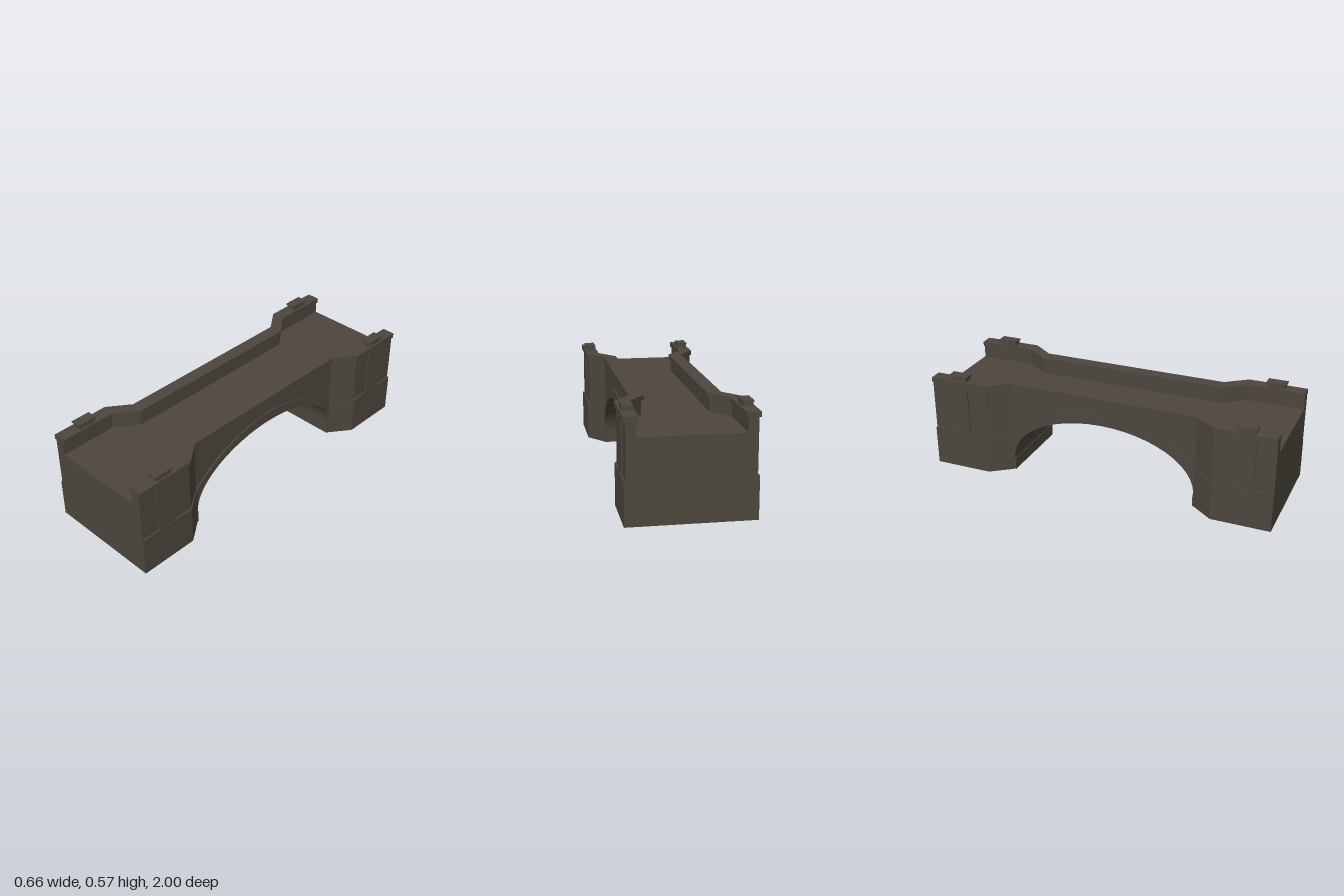
import * as THREE from 'three';
import { toCreasedNormals } from 'three/addons/utils/BufferGeometryUtils.js';

export function createModel() {
  const bridge = new THREE.Group();
  bridge.name = 'stoneBridge';
  const stone = new THREE.MeshStandardMaterial({ color: 0x4c463d });
  stone.name = 'dark stone';

  const add = (name, geometry) => {
    const mesh = new THREE.Mesh(geometry, stone);
    mesh.name = name;
    bridge.add(mesh);
    return mesh;
  };
  const shapeOf = pts => new THREE.Shape(pts.map(p => new THREE.Vector2(p[0], p[1])));

  // Plan outline in (x, z), raised from y0 to y1
  const slab = (name, pts, y0, y1) => {
    const g = new THREE.ExtrudeGeometry(shapeOf(pts.map(([x, z]) => [x, -z])), { depth: y1 - y0, bevelEnabled: false });
    g.rotateX(-Math.PI / 2).translate(0, y0, 0);
    return add(name, g);
  };
  // Side outline in (z, y), spanning the width either side of x = 0
  const span = (name, pts, halfWidth) => {
    const g = new THREE.ExtrudeGeometry(shapeOf(pts), { depth: halfWidth * 2, bevelEnabled: false });
    g.translate(0, 0, -halfWidth).rotateY(-Math.PI / 2);
    return add(name, toCreasedNormals(g, 0.5));
  };
  const box = (name, w, h, d, x, y, z) =>
    add(name, new THREE.BoxGeometry(w, h, d).translate(x, y, z));

  // Arch curves: an elliptical soffit and a circular outer edge
  const N = 24;
  const soffit = (a, b) => Array.from({ length: N + 1 }, (_, i) => {
    const t = (Math.PI * i) / N;
    return [a * Math.cos(t), 0.08 + b * Math.sin(t)];
  });
  const R = 0.798;
  const outer = Array.from({ length: N + 1 }, (_, i) => {
    const z = -0.545 + (1.09 * i) / N;
    return [z, 0.4395 - R + Math.sqrt(R * R - z * z)];
  });
  span('archRing', [[0.56, 0.06], [0.542, 0.06], ...soffit(0.542, 0.302),
    [-0.542, 0.06], [-0.56, 0.06], [-0.56, 0.225], ...outer, [0.56, 0.225]], 0.24);

  // Spandrel walls and roadway of the centre span
  span('centreSpan', [[0.555, 0.08], ...soffit(0.55, 0.32), [-0.555, 0.08],
    [-0.555, 0.44], [0.555, 0.44]], 0.233);

  for (const s of [1, -1]) {
    // Abutments with splayed corners, wider at the base
    const plan = (wide, narrow) => [[wide, s], [wide, s * 0.667], [narrow, s * 0.545],
      [-narrow, s * 0.545], [-wide, s * 0.667], [-wide, s]];
    slab('abutmentBase', plan(0.33, 0.24), 0, 0.225);
    slab('abutmentUpper', plan(0.32, 0.233), 0.225, 0.44);
    box('archFooting', 0.48, 0.07, 0.03, 0, 0.035, s * 0.553);

    for (const m of [1, -1]) {
      // Pilaster with its raised cap
      box('pilaster', 0.02, 0.288, 0.115, m * 0.317, 0.369, s * 0.835);
      box('capBlock', 0.052, 0.026, 0.1, m * 0.295, 0.551, s * 0.835);
      box('capSlab', 0.058, 0.008, 0.112, m * 0.295, 0.566, s * 0.835);
    }
  }

  // Parapets and copings follow the waisted plan on both sides
  const strip = (m, wideOut, narrowOut, wideIn, narrowIn) => [
    [wideOut, 1], [wideOut, 0.667], [narrowOut, 0.545],
    [narrowOut, -0.545], [wideOut, -0.667], [wideOut, -1],
    [wideIn, -1], [wideIn, -0.675], [narrowIn, -0.553],
    [narrowIn, 0.553], [wideIn, 0.675], [wideIn, 1],
  ].map(([x, z]) => [m * x, z]);
  for (const m of [1, -1]) {
    slab('parapet', strip(m, 0.32, 0.233, 0.268, 0.177), 0.44, 0.513);
    slab('coping', strip(m, 0.331, 0.241, 0.257, 0.165), 0.513, 0.54);
  }
  return bridge;
}
